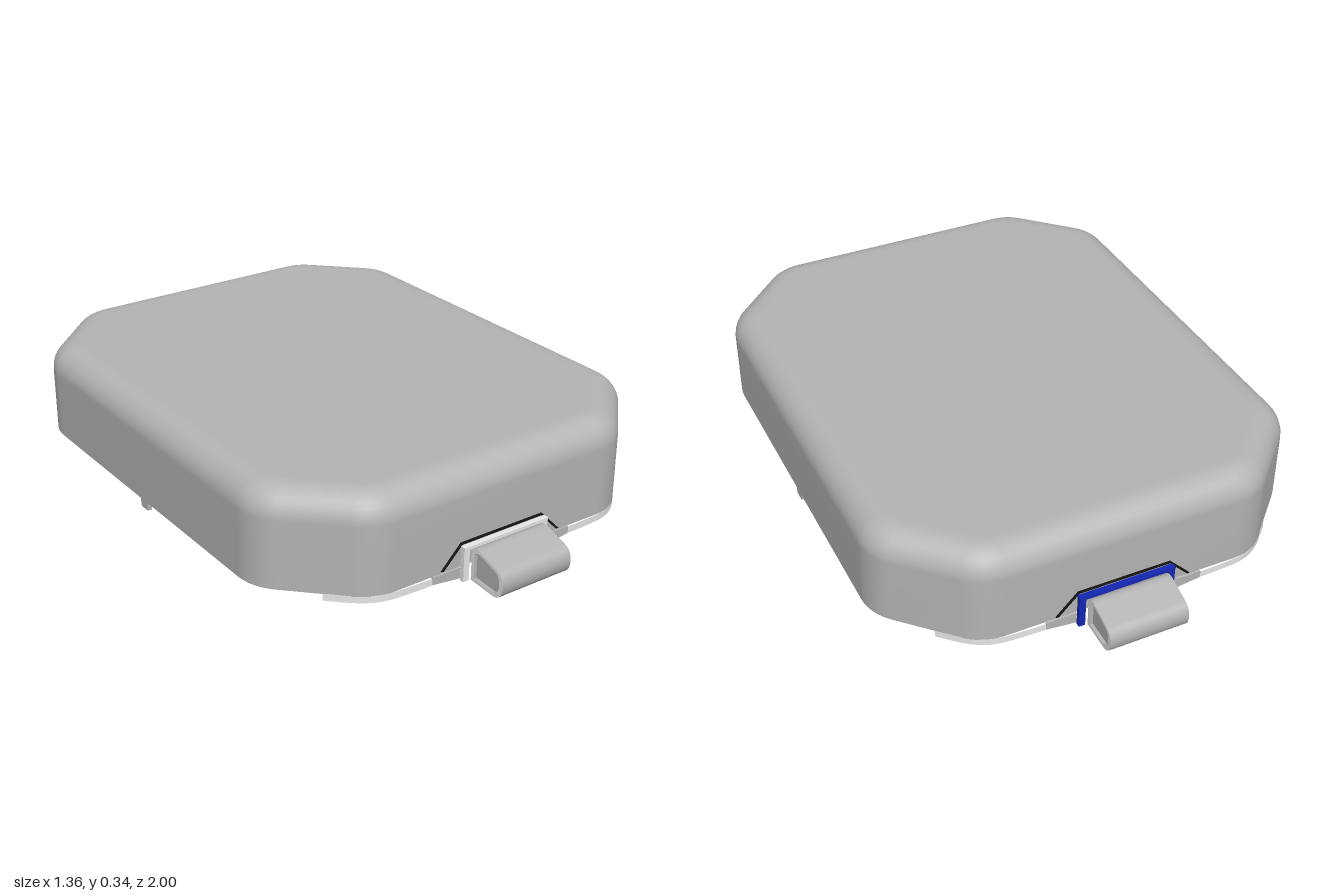
import * as THREE from 'three';

const mat = (name, color, side = THREE.FrontSide) => {
  const m = new THREE.MeshStandardMaterial({ color, side });
  m.name = name;
  return m;
};

export function createModel() {
  const grey = mat('grey plastic', 0xb4b4b4, THREE.DoubleSide);
  const white = mat('white plastic', 0xffffff, THREE.DoubleSide);
  const blue = mat('blue seal', 0x1428b4);
  const black = mat('black trim', 0x141414);
  const model = new THREE.Group();
  model.name = 'lid';

  const add = (parent, name, geometry, material, x = 0, y = 0, z = 0) => {
    const mesh = new THREE.Mesh(geometry, material);
    mesh.name = name;
    mesh.position.set(x, y, z);
    parent.add(mesh);
    return mesh;
  };

  // Chamfered rectangle with rounded corners, inset by d
  const A = 0.678, B = 0.845, C = 0.24, R = 0.16, STEPS = 6;
  const T = R * Math.tan(Math.PI / 8);
  const outline = (d) => {
    const quarter = [];
    for (const [cx, cz, start] of [[A - R, B - C - T, 0], [A - C - T, B - R, Math.PI / 4]]) {
      for (let i = 0; i <= STEPS; i++) {
        const a = start + (i / STEPS) * Math.PI / 4;
        quarter.push([cx + (R - d) * Math.cos(a), cz + (R - d) * Math.sin(a)]);
      }
    }
    const flipped = quarter.slice().reverse();
    return [
      ...quarter, ...flipped.map(([x, z]) => [-x, z]),
      ...quarter.map(([x, z]) => [-x, -z]), ...flipped.map(([x, z]) => [x, -z]),
    ];
  };

  // Open shell: straight wall, rounded shoulder, flat top
  const profile = [[0, 0.05], [0, 0.16], [0, 0.262]];
  for (let i = 1; i <= 8; i++) {
    const a = (i / 8) * Math.PI / 2;
    profile.push([0.085 * (1 - Math.cos(a)), 0.262 + 0.085 * Math.sin(a)]);
  }
  profile.push([0.1, 0.347]);
  const pos = [], index = [];
  let n = 0;
  for (const [d, y] of profile) {
    const ring = outline(d);
    n = ring.length;
    ring.forEach(([x, z]) => pos.push(x, y, z));
  }
  for (let r = 0; r < profile.length - 1; r++) {
    for (let i = 0; i < n; i++) {
      const a = r * n + i, b = r * n + (i + 1) % n;
      index.push(a, a + n, b, b, a + n, b + n);
    }
  }
  const last = (profile.length - 1) * n;
  pos.push(0, 0.347, 0);
  for (let i = 0; i < n; i++) index.push(last + i, last + n, last + (i + 1) % n);
  const shell = new THREE.BufferGeometry();
  shell.setAttribute('position', new THREE.Float32BufferAttribute(pos, 3));
  shell.setIndex(index);
  shell.computeVertexNormals();
  add(model, 'shell', shell, grey);

  // Small locating tabs under the side walls
  for (const s of [-1, 1]) {
    add(model, 'sideTab', new THREE.BoxGeometry(0.014, 0.035, 0.04), grey, s * 0.668, 0.0375, 0);
  }

  const polygon = (points) => new THREE.Shape(points.map(([x, y]) => new THREE.Vector2(x, y)));
  const extrude = (shape, depth) =>
    new THREE.ExtrudeGeometry(shape, { depth, bevelEnabled: false, curveSegments: 10 });

  // Clip cross-section: horizontal axis runs outwards, scaled about its middle for the hollow
  const clipShape = (k) => {
    const p = (z, y) => [0.93 + (z - 0.93) * k, 0.06 + (y - 0.06) * k];
    const s = new THREE.Shape();
    s.moveTo(...p(0.868, 0.105));
    s.quadraticCurveTo(...p(0.875, 0.122), ...p(0.9, 0.116));
    s.lineTo(...p(0.975, 0.092));
    s.quadraticCurveTo(...p(1.0, 0.082), ...p(1.0, 0.05));
    s.quadraticCurveTo(...p(0.998, 0.01), ...p(0.965, 0.006));
    s.lineTo(...p(0.868, 0.012));
    s.closePath();
    return s;
  };

  // Ribbon that stands under the end wall
  const ribbon = (s) => {
    const path = new THREE.CatmullRomCurve3(
      [[0.15, 0.853], [0.3, 0.853], [0.41, 0.842], [0.47, 0.81], [0.54, 0.745]]
        .map(([x, z]) => new THREE.Vector3(s * x, 0, z)));
    const g = new THREE.PlaneGeometry(1, 1, 20, 1);
    const v = g.attributes.position;
    for (let i = 0; i < v.count; i++) {
      const q = path.getPoint(v.getX(i) + 0.5);
      v.setXYZ(i, q.x, v.getY(i) > 0 ? 0.052 : 0.03, q.z);
    }
    g.computeVertexNormals();
    return g;
  };

  const buildEnd = (name, frameMaterial) => {
    const end = new THREE.Group();
    end.name = name;

    // Hollow clip with pale edges and recessed cheeks
    const ring = clipShape(1);
    ring.holes.push(clipShape(0.8));
    const loop = extrude(ring, 0.25);
    loop.rotateY(-Math.PI / 2);
    add(end, 'clip', loop, [white, grey], 0.125);
    for (const s of [-1, 1]) {
      const cheek = extrude(clipShape(0.82), 0.006);
      cheek.rotateY(-Math.PI / 2);
      add(end, 'clipCheek', cheek, grey, s * 0.112 + 0.003);

      // Frame legs, lower flanges and lip
      add(end, 'frameLeg', new THREE.BoxGeometry(0.02, 0.105, 0.014), frameMaterial, s * 0.143, 0.066, 0.862);
      const flange = polygon([[0.154, 0.02], [0.25, 0.032], [0.25, 0.055], [0.154, 0.055]]
        .map(([x, y]) => [s * x, y]));
      add(end, 'flange', extrude(flange, 0.006), grey, 0, 0, 0.85);
      add(end, 'lip', ribbon(s), white);
    }
    add(end, 'frameTop', new THREE.BoxGeometry(0.306, 0.01, 0.018), frameMaterial, 0, 0.117, 0.862);

    // Dark trapezoid trim around the clip
    const trim = polygon([
      [-0.216, 0.058], [-0.148, 0.128], [0.148, 0.128], [0.216, 0.058],
      [0.208, 0.058], [0.145, 0.122], [-0.145, 0.122], [-0.208, 0.058]]);
    add(end, 'clipTrim', extrude(trim, 0.005), black, 0, 0, 0.846);
    model.add(end);
    return end;
  };

  // The front frame is pale with a blue inner face; the back one is blue
  buildEnd('frontClip', [white, white, white, white, white, blue]);
  buildEnd('backClip', blue).rotation.y = Math.PI;

  return model;
}
